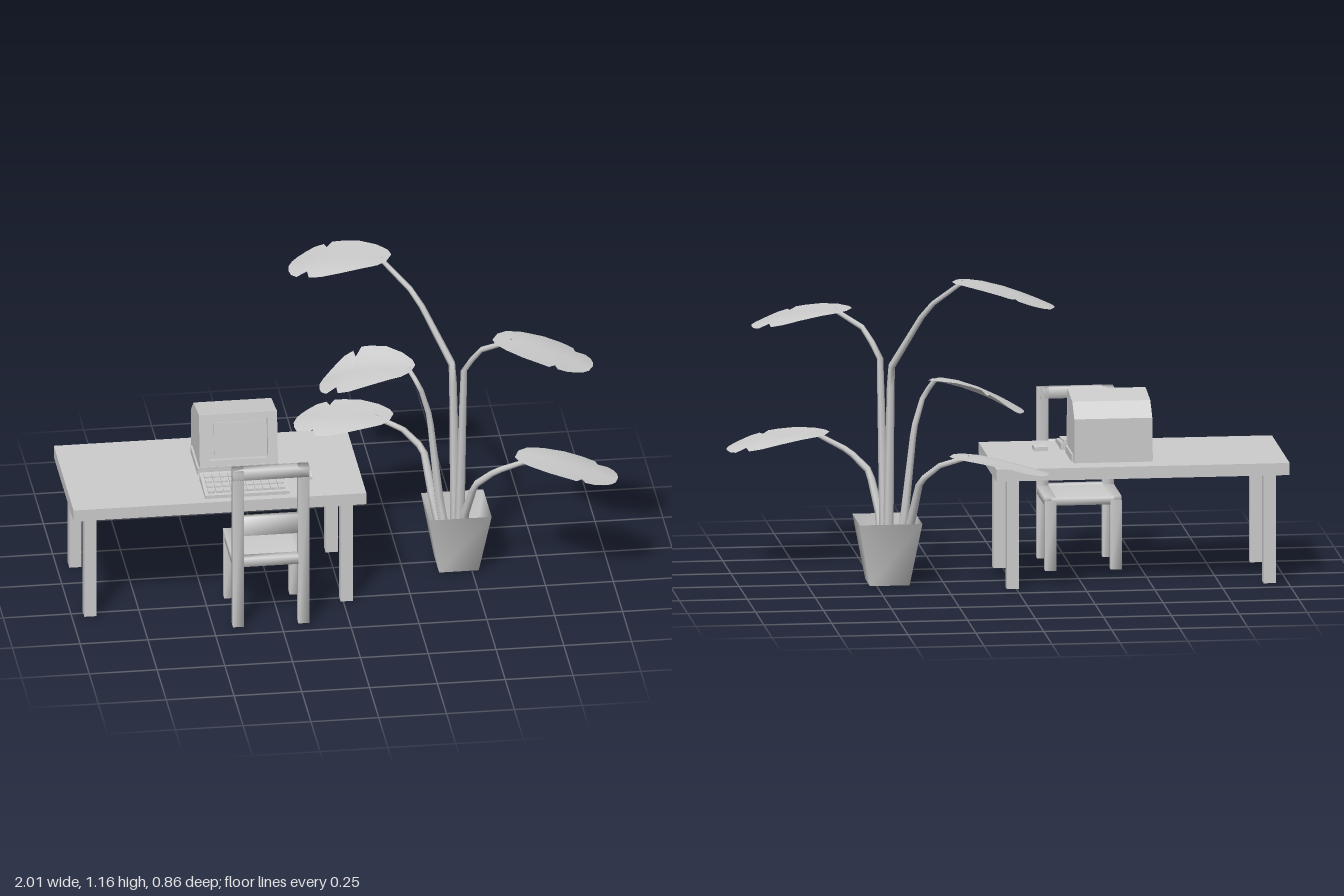
import * as THREE from 'three';
import { mergeVertices } from 'three/addons/utils/BufferGeometryUtils.js';

const grey = new THREE.MeshStandardMaterial({ color: 0xcccccc, side: THREE.DoubleSide });
grey.name = 'plain grey';

function add(parent, name, geometry) {
  const mesh = new THREE.Mesh(geometry, grey);
  mesh.name = name;
  parent.add(mesh);
  return mesh;
}

function group(parent, name) {
  const g = new THREE.Group();
  g.name = name;
  parent.add(g);
  return g;
}

// Share corners so that shading runs softly across edges
function soften(geometry) {
  geometry.deleteAttribute('normal');
  geometry.deleteAttribute('uv');
  const merged = mergeVertices(geometry);
  merged.computeVertexNormals();
  return merged;
}

// Box given by its ranges on each axis
function box(parent, name, [x0, x1], [y0, y1], [z0, z1], soft = false) {
  let g = new THREE.BoxGeometry(x1 - x0, y1 - y0, z1 - z0);
  g.translate((x0 + x1) / 2, (y0 + y1) / 2, (z0 + z1) / 2);
  if (soft) g = soften(g);
  return add(parent, name, g);
}

// Side profile of [z, y] points, extruded across x
function sideExtrude(parent, name, points, x0, x1) {
  const shape = new THREE.Shape(points.map(p => new THREE.Vector2(...p)));
  const g = new THREE.ExtrudeGeometry(shape, { depth: x1 - x0, bevelEnabled: false });
  g.rotateY(-Math.PI / 2);
  g.translate(x1, 0, 0);
  return add(parent, name, g);
}

function buildTable(root) {
  const t = group(root, 'table');
  box(t, 'tableTop', [-1, 0.08], [0.41, 0.455], [-0.22, 0.32]);
  for (const x of [-0.955, -0.01])
    for (const z of [-0.172, 0.237])
      box(t, 'tableLeg', [x, x + 0.045], [0, 0.41], [z, z + 0.044]);
}

function buildChair(root) {
  const c = group(root, 'chair');
  for (const x of [-0.428, -0.187]) {
    const w = [x, x + 0.041];
    box(c, 'backPost', w, [0, 0.635], [0.4, 0.44], true);
    box(c, 'frontLeg', w, [0, 0.258], [0.16, 0.2], true);
    box(c, 'sideRail', w, [0.24, 0.272], [0.17, 0.41], true);
  }
  box(c, 'topRail', [-0.428, -0.146], [0.595, 0.635], [0.4, 0.44], true);
  box(c, 'backSlat', [-0.4, -0.17], [0.365, 0.44], [0.408, 0.432], true);
  box(c, 'rearRail', [-0.4, -0.17], [0.242, 0.275], [0.402, 0.438], true);
  box(c, 'frontRail', [-0.4, -0.17], [0.242, 0.27], [0.162, 0.198], true);
  box(c, 'seat', [-0.41, -0.16], [0.255, 0.271], [0.17, 0.42], true);
}

function buildComputer(root) {
  const c = group(root, 'computer');
  sideExtrude(c, 'monitorBody',
    [[0.082, 0.49], [0.057, 0.69], [-0.07, 0.672], [-0.132, 0.618], [-0.132, 0.455], [0.07, 0.455]],
    -0.505, -0.218);
  // Bezel leaning back, with the screen sunk inside it
  const bezel = new THREE.Shape([[-0.144, 0], [0.144, 0], [0.144, 0.201], [-0.144, 0.201]]
    .map(p => new THREE.Vector2(...p)));
  bezel.holes.push(new THREE.Path([[-0.108, 0.022], [-0.108, 0.178], [0.108, 0.178], [0.108, 0.022]]
    .map(p => new THREE.Vector2(...p))));
  const front = add(c, 'bezel', new THREE.ExtrudeGeometry(bezel, { depth: 0.022, bevelEnabled: false }));
  front.position.set(-0.361, 0.49, 0.082);
  front.rotation.x = -0.124;
  const screen = add(front, 'screen', new THREE.BoxGeometry(0.176, 0.124, 0.006));
  screen.position.set(0, 0.1, 0.004);
  box(c, 'monitorFoot', [-0.512, -0.211], [0.455, 0.482], [-0.1, 0.085]);

  // Wedge keyboard with rows of keys
  const k = group(root, 'keyboard');
  sideExtrude(k, 'keyboardBase', [[0.29, 0.455], [0.29, 0.468], [0.125, 0.482], [0.125, 0.455]], -0.51, -0.2);
  for (let row = 0; row < 4; row++) {
    const z = 0.145 + row * 0.034, y = 0.478 - row * 0.003;
    for (let i = 0; i < 10; i++) {
      const x = -0.497 + i * 0.0288;
      box(k, 'key', [x, x + 0.025], [y, y + 0.009], [z, z + 0.029]);
    }
  }
  sideExtrude(root, 'mouse', [[0.18, 0.455], [0.18, 0.464], [0.145, 0.474], [0.115, 0.47], [0.115, 0.455]],
    -0.15, -0.1);
}

// Leaf as rows across a drooping midrib, with notches in the outline;
// high and low are the heights of the two edges against the midrib
function leafGeometry(base, tip, halfWidth, high, low) {
  const rows = [[0, 0.25, 0.2], [0.06, 0.5, 0.5], [0.2, 0.76, 0.72], [0.4, 0.96, 0.92], [0.58, 1, 1],
    [0.68, 1, 0.96], [0.71, 0.72, 0.94], [0.76, 0.92, 0.66], [0.85, 0.82, 0.82],
    [0.92, 0.6, 0.68], [0.97, 0.38, 0.45], [1, 0.15, 0.2]];
  const dx = tip[0] - base[0], dy = tip[1] - base[1], dz = tip[2] - base[2];
  const length = Math.hypot(dx, dz), px = -dz / length, pz = dx / length;
  const pos = [], index = [];
  rows.forEach(([t, wHigh, wLow], r) => {
    for (let c = 0; c < 5; c++) {
      const s = (c - 2) / 2 * (c > 2 ? wHigh : wLow);
      const lift = s * s * (s > 0 ? high : low) * (0.4 + 0.6 * t);
      pos.push(base[0] + dx * t + px * s * halfWidth,
        base[1] + dy * Math.pow(t, 1.8) + lift,
        base[2] + dz * t + pz * s * halfWidth);
      if (r && c) {
        const d = r * 5 + c, b = d - 5;
        index.push(b - 1, b, d, b - 1, d, d - 1);
      }
    }
  });
  const g = new THREE.BufferGeometry();
  g.setAttribute('position', new THREE.Float32BufferAttribute(pos, 3));
  g.setIndex(index);
  g.computeVertexNormals();
  return g;
}

// Tapered six-sided stem through bent points
function stemGeometry(points) {
  const path = new THREE.CurvePath();
  const v = points.map(p => new THREE.Vector3(...p));
  for (let i = 1; i < v.length; i++) path.add(new THREE.LineCurve3(v[i - 1], v[i]));
  const steps = 16, sides = 6;
  const g = new THREE.TubeGeometry(path, steps, 1, sides, false);
  const pos = g.attributes.position, p = new THREE.Vector3();
  for (let i = 0; i < pos.count; i++) {
    const t = Math.floor(i / (sides + 1)) / steps, centre = path.getPointAt(t);
    p.fromBufferAttribute(pos, i).sub(centre).multiplyScalar(0.021 - 0.012 * t).add(centre);
    pos.setXYZ(i, p.x, p.y, p.z);
  }
  return g;
}

function buildPlant(root) {
  const plant = group(root, 'pottedPlant');
  // Square open pot
  const r = Math.SQRT2;
  const pot = new THREE.CylinderGeometry(0.115 * r, 0.073 * r, 0.235, 4, 1, true);
  pot.rotateY(Math.PI / 4);
  add(plant, 'pot', soften(pot)).position.set(0.452, 0.1175, 0.019);
  box(plant, 'potBase', [0.379, 0.525], [0, 0.006], [-0.054, 0.092]);

  // Each stem path with its leaf: base, tip, half width, edge lifts
  const branches = [
    { stem: [[0.45, 0.02, 0.03], [0.44, 0.8, 0.01], [0.32, 1.04, -0.1], [0.2, 1.152, -0.195]],
      leaf: [[0.23, 1.156, -0.185], [-0.11, 1.075, -0.35], 0.125, 0.012, -0.03] },
    { stem: [[0.455, 0.02, 0.05], [0.47, 0.82, 0.095], [0.52, 0.92, 0.14], [0.63, 0.985, 0.21]],
      leaf: [[0.575, 0.988, 0.17], [0.905, 0.915, 0.335], 0.125, 0.012, -0.03] },
    { stem: [[0.43, 0.02, 0], [0.395, 0.24, -0.02], [0.36, 0.58, -0.028], [0.325, 0.7, -0.025], [0.285, 0.765, -0.06]],
      leaf: [[0.3, 0.765, -0.05], [-0.015, 0.66, -0.205], 0.125, 0.06, -0.035] },
    { stem: [[0.46, 0.02, 0.05], [0.47, 0.24, 0.11], [0.5, 0.385, 0.165], [0.57, 0.455, 0.205], [0.69, 0.515, 0.25]],
      leaf: [[0.65, 0.523, 0.205], [1, 0.455, 0.34], 0.125, 0.012, -0.03] },
    { stem: [[0.42, 0.02, 0], [0.375, 0.24, -0.065], [0.35, 0.4, -0.125], [0.28, 0.465, -0.165], [0.18, 0.502, -0.21]],
      leaf: [[0.24, 0.506, -0.185], [-0.095, 0.45, -0.325], 0.125, 0.012, -0.03] },
  ];
  for (const { stem, leaf } of branches) {
    add(plant, 'stem', stemGeometry(stem));
    add(plant, 'leaf', leafGeometry(...leaf));
  }
}

export function createModel() {
  const root = new THREE.Group();
  root.name = 'deskWithChairAndPlant';
  buildTable(root);
  buildChair(root);
  buildComputer(root);
  buildPlant(root);
  return root;
}
